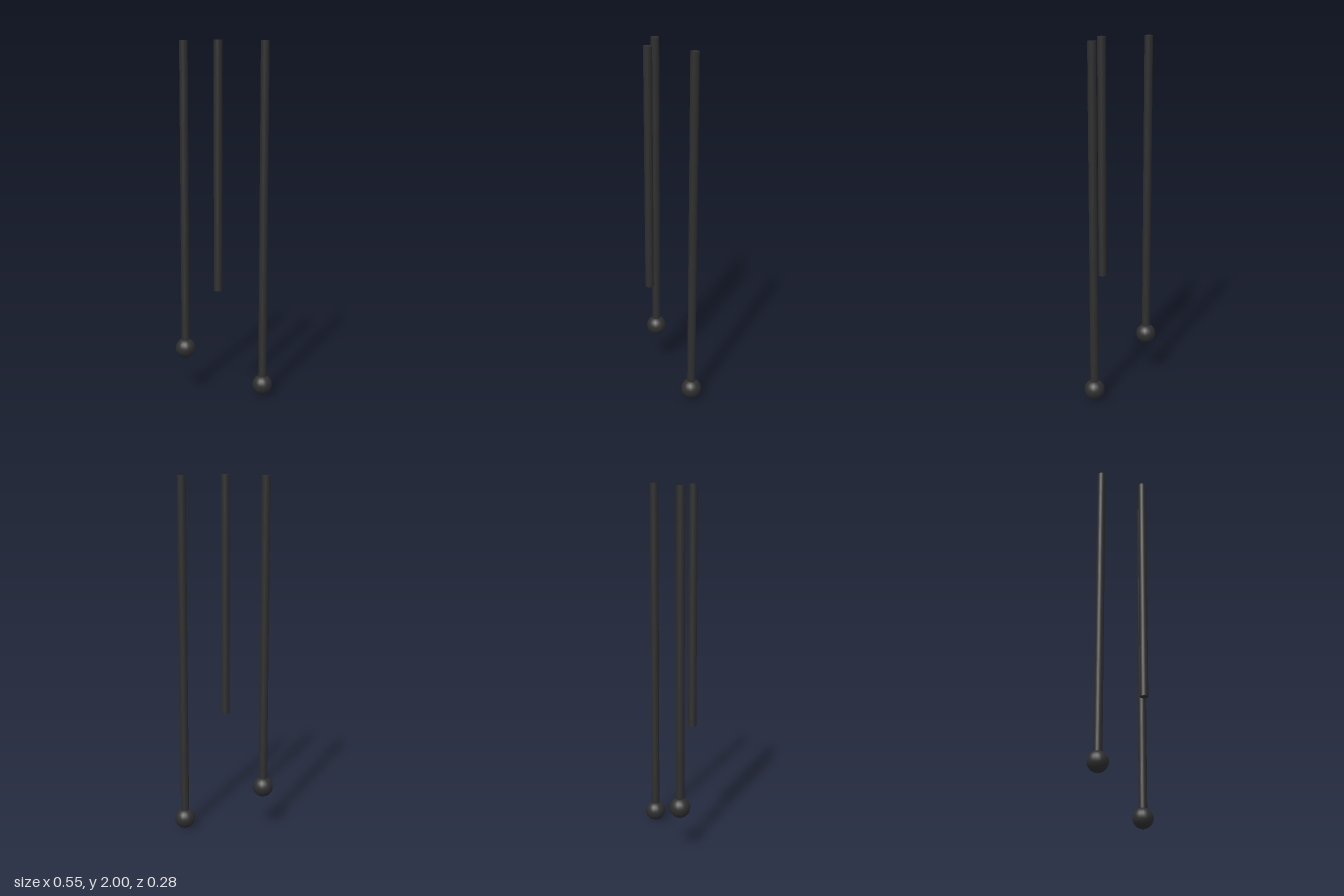
import * as THREE from 'three';

const ROD_RADIUS = 0.0235;
const BALL_RADIUS = 0.0575;
const TOP = 2;

export function createModel() {
  const model = new THREE.Group();
  model.name = 'hangingRods';
  const material = new THREE.MeshStandardMaterial({ color: 0x2e2e2e });

  // one upright rod, with an optional ball centred on its lower end
  function addRod(name, x, z, bottom, hasBall) {
    const group = new THREE.Group();
    group.name = name;
    group.position.set(x, 0, z);

    const length = TOP - bottom;
    const rod = new THREE.Mesh(
      new THREE.CylinderGeometry(ROD_RADIUS, ROD_RADIUS, length, 24), material);
    rod.name = 'rod';
    rod.position.y = bottom + length / 2;
    group.add(rod);

    if (hasBall) {
      const ball = new THREE.Mesh(new THREE.SphereGeometry(BALL_RADIUS, 16, 16), material);
      ball.name = 'ball';
      ball.position.y = bottom;
      group.add(ball);
    }
    model.add(group);
  }

  addRod('leftLongRod', 0.218, -0.082, BALL_RADIUS, true);
  addRod('rightMediumRod', -0.2195, 0.015, 0.253, true);
  addRod('frontShortRod', 0.0235, 0.113, 0.645, false);

  return model;
}
